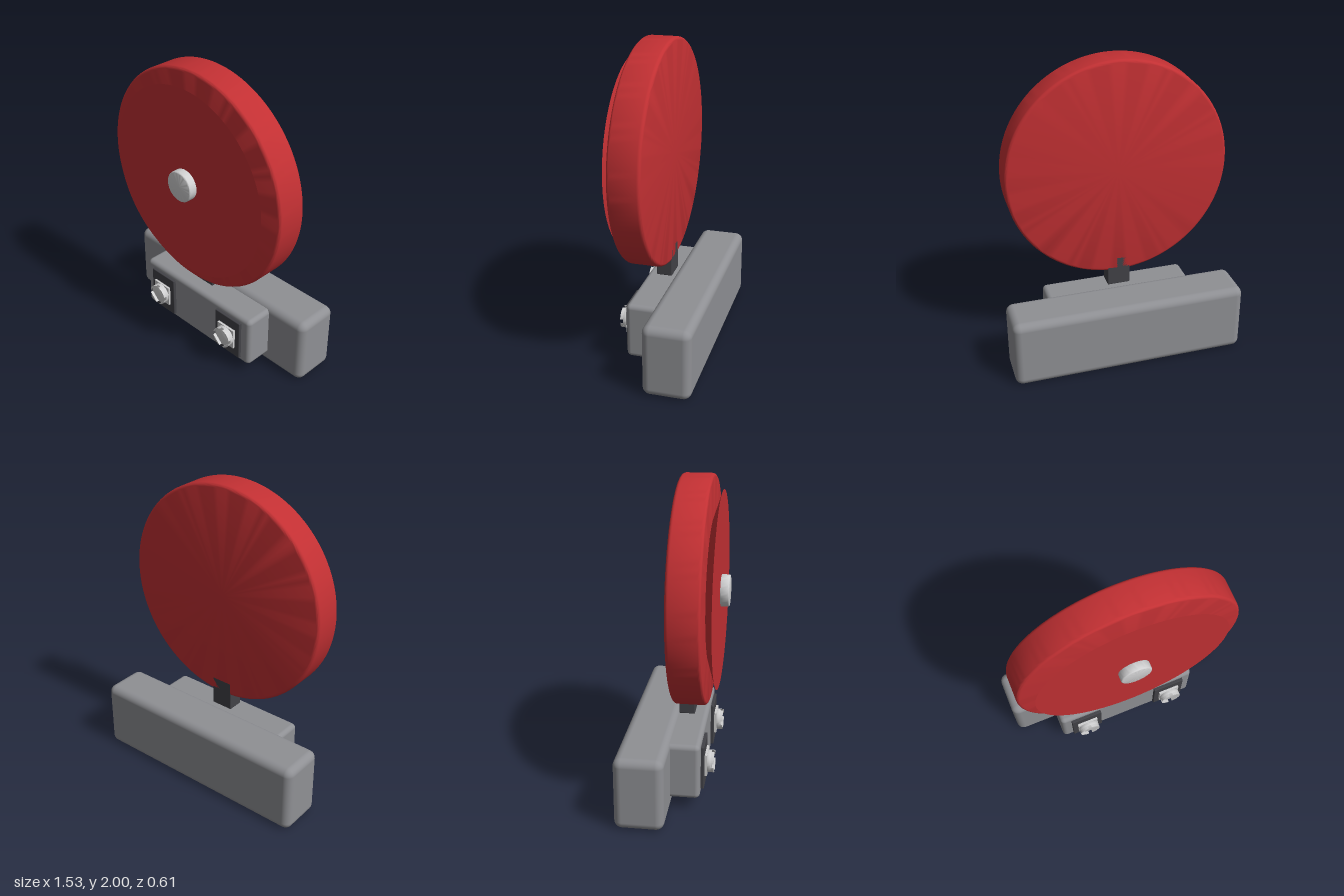
import * as THREE from 'three';
import { toCreasedNormals } from 'three/addons/utils/BufferGeometryUtils.js';
import { RoundedBoxGeometry } from 'three/addons/geometries/RoundedBoxGeometry.js';

const material = (name, color) => {
  const m = new THREE.MeshStandardMaterial({ color });
  m.name = name;
  return m;
};

export function createModel() {
  const red = material('bell red', 0xc23033);
  const grey = material('housing grey', 0x8f9094);
  const dark = material('dark plastic', 0x424247);
  const metal = material('light metal', 0xd0d0d1);

  const model = new THREE.Group();
  model.name = 'alarmBell';

  const add = (parent, name, geometry, mat, x, y, z) => {
    const mesh = new THREE.Mesh(geometry, mat);
    mesh.name = name;
    mesh.position.set(x, y, z);
    parent.add(mesh);
    return mesh;
  };

  // Solid of revolution about z, from [radius, z] points
  const turned = (points, segments = 96) => {
    const g = new THREE.LatheGeometry(points.map(([r, z]) => new THREE.Vector2(r, z)), segments);
    g.rotateX(Math.PI / 2);
    return toCreasedNormals(g, 0.5);
  };

  // Disc from z = 0 to depth with rounded rims
  const disc = (radius, depth, fillet, segments) => {
    const points = [[0, 0]];
    const steps = 5;
    for (const [zc, start] of [[fillet, -Math.PI / 2], [depth - fillet, 0]]) {
      for (let i = 0; i <= steps; i++) {
        const a = start + (i / steps) * Math.PI / 2;
        points.push([radius - fillet + fillet * Math.cos(a), zc + fillet * Math.sin(a)]);
      }
    }
    points.push([0, depth]);
    return turned(points, segments);
  };

  // Housing and terminal block
  add(model, 'housing', new RoundedBoxGeometry(1.535, 0.46, 0.303, 5, 0.05), grey, 0, 0.235, -0.153);
  add(model, 'terminalBlock', new RoundedBoxGeometry(0.97, 0.36, 0.23, 5, 0.03), grey, 0, 0.26, 0.065);

  // Gong, flared front plate and centre cap
  const bell = new THREE.Group();
  bell.name = 'bell';
  bell.position.y = 1.285;
  model.add(bell);
  add(bell, 'gong', disc(0.715, 0.203, 0.022, 128), red, 0, 0, 0);
  add(bell, 'flaredPlate', turned([[0, 0.19], [0.42, 0.19], [0.62, 0.255], [0, 0.255]], 128), red, 0, 0, 0);
  add(bell, 'centreCap', disc(0.1, 0.06, 0.01, 48), metal, 0, 0, 0.25);

  // Striker arm under the gong with its round hammer
  add(model, 'strikerArm', new RoundedBoxGeometry(0.15, 0.2, 0.103, 2, 0.006), dark, 0, 0.567, 0.0515);
  add(model, 'strikerHammer', disc(0.08, 0.055, 0.006, 40), metal, 0, 0.61, 0.1);

  // Quarter of a screw head, leaving half of each slot open
  const radius = 0.07, slot = 0.012;
  const edge = Math.asin(slot / radius);
  const quarter = new THREE.Shape();
  quarter.moveTo(slot, slot);
  quarter.absarc(0, 0, radius, edge, Math.PI / 2 - edge, false);
  quarter.closePath();
  const quarterGeometry = toCreasedNormals(
    new THREE.ExtrudeGeometry(quarter, { depth: 0.02, bevelEnabled: false, curveSegments: 12 }), 0.5);

  // Terminals with cross-slotted screws
  for (const [side, x] of [['right', -0.308], ['left', 0.308]]) {
    const terminal = new THREE.Group();
    terminal.name = side + 'Terminal';
    terminal.position.set(x, 0.26, 0);
    model.add(terminal);
    add(terminal, 'terminalPlate', new RoundedBoxGeometry(0.215, 0.285, 0.03, 2, 0.005), dark, 0, 0, 0.185);
    add(terminal, 'clampPlate', new THREE.BoxGeometry(0.142, 0.142, 0.025), metal, 0, 0, 0.2025);
    add(terminal, 'screwBase', disc(radius, 0.025, 0.001, 40), metal, 0, 0, 0.211);
    for (let i = 0; i < 4; i++) {
      add(terminal, 'screwHeadQuarter', quarterGeometry, metal, 0, 0, 0.2355).rotation.z = i * Math.PI / 2;
    }
  }
  return model;
}
